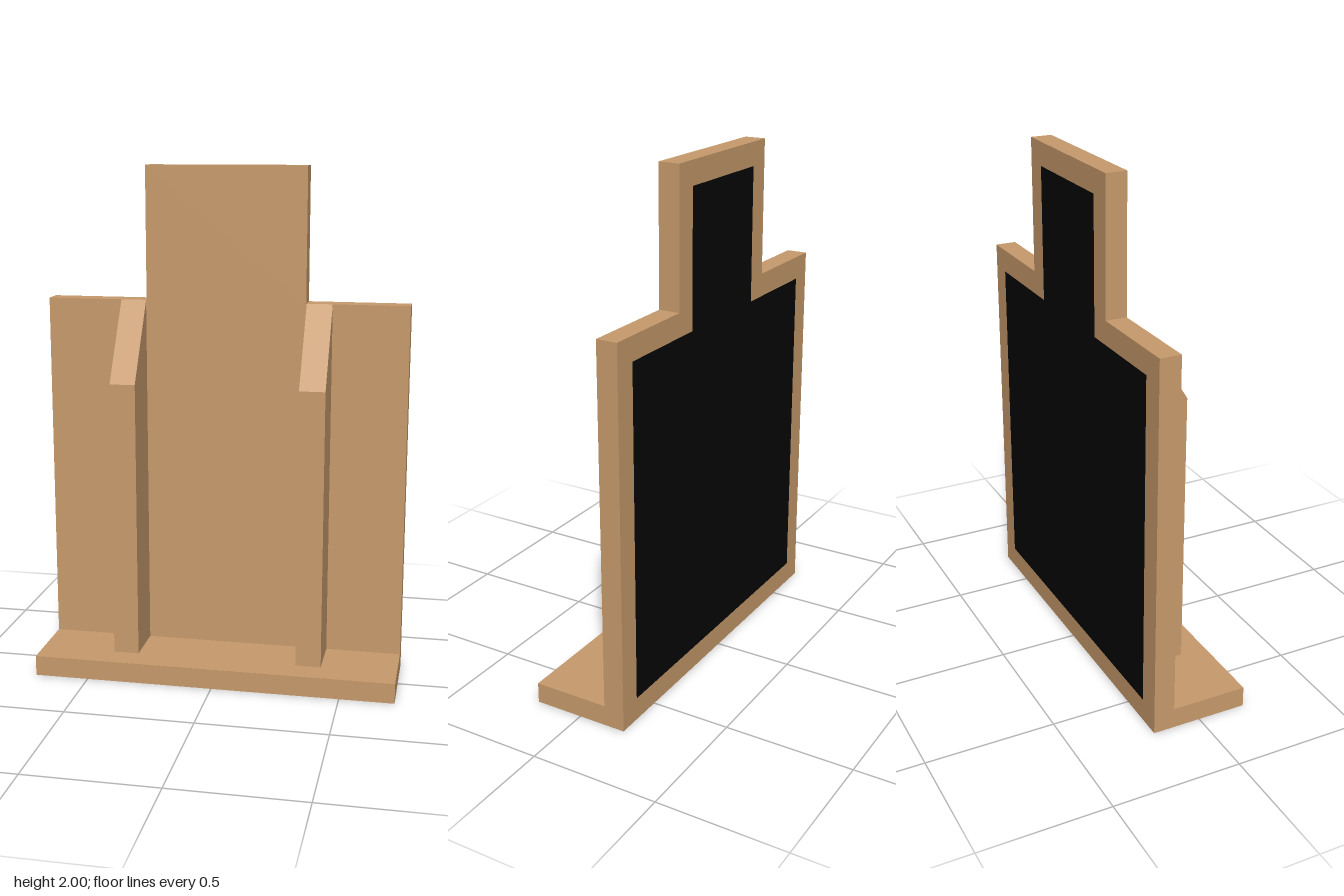
import * as THREE from 'three';

const W = 0.713, HEAD = 0.315, SHOULDER = 1.48, TOP = 2;
const BACK = -0.19, BOARD_FRONT = -0.108, BASE_TOP = 0.08;

// Head-and-shoulders outline, shrunk inward by a margin
function silhouette(m = 0) {
  const right = [[W - m, m], [W - m, SHOULDER - m], [HEAD - m, SHOULDER - m], [HEAD - m, TOP - m]];
  const left = right.map(([x, y]) => [-x, y]).reverse();
  return new THREE.Shape([...right, ...left].map(([x, y]) => new THREE.Vector2(x, y)));
}

export function createModel() {
  const group = new THREE.Group();
  const wood = new THREE.MeshStandardMaterial({ color: 0xc89b6c });
  const black = new THREE.MeshStandardMaterial({ color: 0x050505 });

  const add = (name, geometry, material, x = 0, y = 0, z = 0) => {
    const mesh = new THREE.Mesh(geometry, material);
    mesh.name = name;
    mesh.position.set(x, y, z);
    group.add(mesh);
    return mesh;
  };

  // Upright board
  add('backBoard', new THREE.ExtrudeGeometry(silhouette(), {
    depth: BOARD_FRONT - BACK, bevelEnabled: false,
  }), wood, 0, 0, BACK);

  // Foot projecting forward from the board
  const footDepth = 0.19 - BOARD_FRONT;
  add('foot', new THREE.BoxGeometry(2 * W, BASE_TOP, footDepth), wood,
    0, BASE_TOP / 2, BOARD_FRONT + footDepth / 2);

  // Two vertical ribs with sloped tops; profile is drawn in (-z, y)
  const profile = new THREE.Shape([
    [-0.085, BASE_TOP], [-BOARD_FRONT, BASE_TOP], [-BOARD_FRONT, SHOULDER], [-0.085, 1.175],
  ].map(([x, y]) => new THREE.Vector2(x, y)));
  const ribWidth = 0.1;
  const ribGeometry = new THREE.ExtrudeGeometry(profile, { depth: ribWidth, bevelEnabled: false });
  ribGeometry.translate(0, 0, -ribWidth / 2).rotateY(Math.PI / 2);
  for (const [name, side] of [['leftRib', 1], ['rightRib', -1]]) {
    add(name, ribGeometry, wood, side * (0.317 + ribWidth / 2));
  }

  // Dark inset panel on the back face
  const panel = new THREE.ShapeGeometry(silhouette(0.09));
  panel.rotateY(Math.PI);
  add('backPanel', panel, black, 0, 0, BACK - 0.001);

  return group;
}
